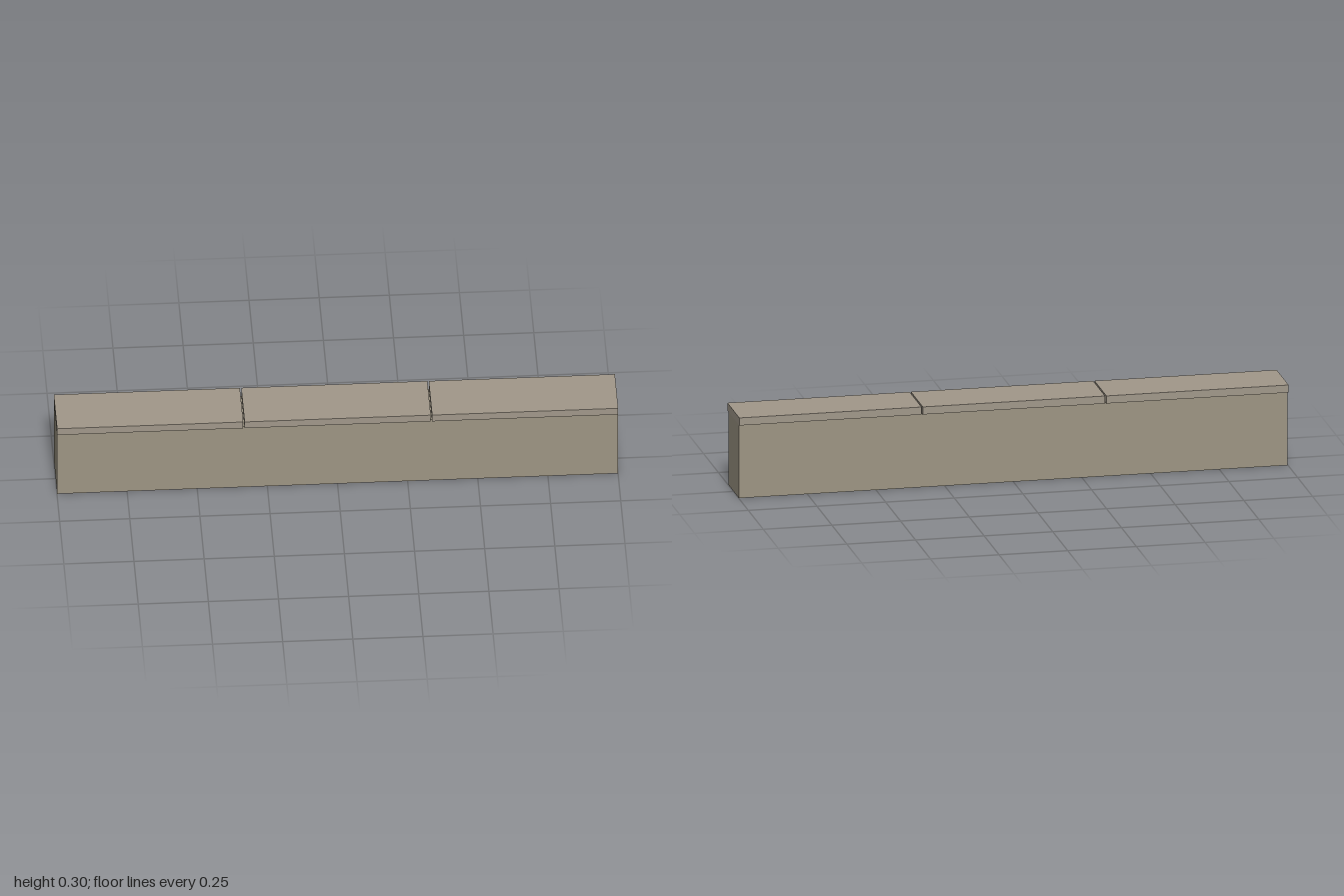
import * as THREE from 'three';

export function createModel() {
  const model = new THREE.Group();
  const wallMaterial = new THREE.MeshStandardMaterial({ color: 0x9d9583 });
  const capMaterial = new THREE.MeshStandardMaterial({ color: 0xa1988a });

  const addBox = (name, size, position, material) => {
    const mesh = new THREE.Mesh(new THREE.BoxGeometry(...size), material);
    mesh.name = name;
    mesh.position.set(...position);
    model.add(mesh);
  };

  // Solid wall body
  const wallHeight = 0.272;
  addBox('wallBody', [1.998, wallHeight, 0.178], [0, wallHeight / 2, 0], wallMaterial);

  // Three overhanging coping slabs separated by narrow joints
  const count = 3, joint = 0.005, capHeight = 0.028;
  const slabLength = (2 - joint * (count - 1)) / count;
  for (let i = 0; i < count; i++) {
    const x = -1 + slabLength / 2 + i * (slabLength + joint);
    addBox(`copingSlab${i + 1}`, [slabLength, capHeight, 0.2], [x, wallHeight + capHeight / 2, 0], capMaterial);
  }

  return model;
}
